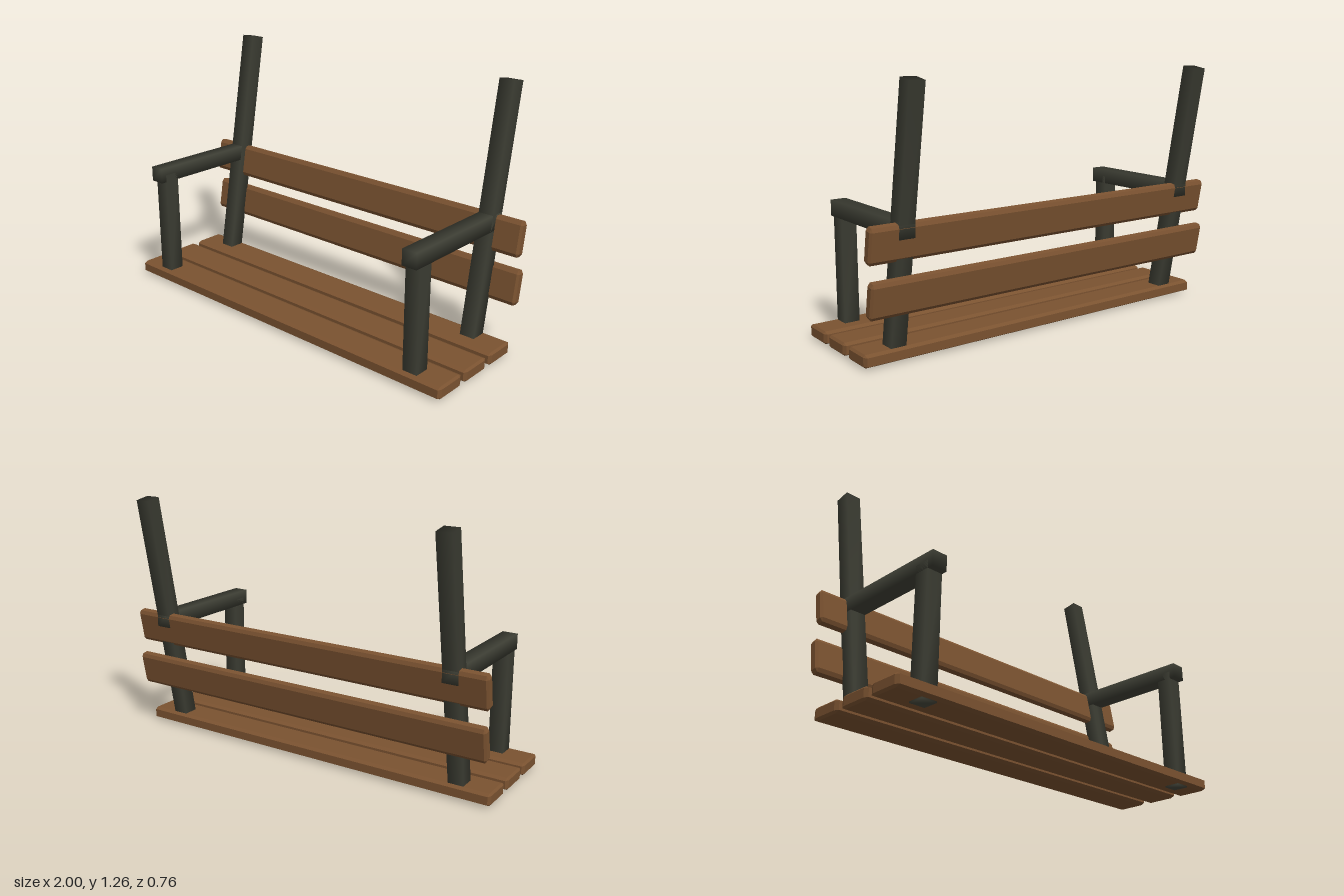
import * as THREE from 'three';
import { mergeVertices } from 'three/addons/utils/BufferGeometryUtils.js';
import { ConvexGeometry } from 'three/addons/geometries/ConvexGeometry.js';

const wood = new THREE.MeshStandardMaterial({ color: 0x7a5230 });
wood.name = 'brown wood';
const metal = new THREE.MeshStandardMaterial({ color: 0x3c3d33 });
metal.name = 'dark metal';

// Box with chamfered edges: each corner becomes three points, inset per axis
function chamferedBox(w, h, d, cx, cy, cz) {
  const points = [];
  for (const sx of [-1, 1]) for (const sy of [-1, 1]) for (const sz of [-1, 1]) {
    const x = w / 2, y = h / 2, z = d / 2;
    points.push(
      new THREE.Vector3(sx * x, sy * (y - cy), sz * (z - cz)),
      new THREE.Vector3(sx * (x - cx), sy * y, sz * (z - cz)),
      new THREE.Vector3(sx * (x - cx), sy * (y - cy), sz * z));
  }
  return new ConvexGeometry(points);
}

// Square bar with normals blended over its corners
function softBar(w, h, d) {
  const box = new THREE.BoxGeometry(w, h, d);
  box.deleteAttribute('normal');
  box.deleteAttribute('uv');
  const bar = mergeVertices(box);
  bar.computeVertexNormals();
  return bar;
}

export function createModel() {
  const model = new THREE.Group();
  model.name = 'swingBench';
  const tilt = THREE.MathUtils.degToRad(-10);

  function add(name, geometry, material, x, y, z, rx = 0) {
    const mesh = new THREE.Mesh(geometry, material);
    mesh.name = name;
    mesh.position.set(x, y, z);
    mesh.rotation.x = rx;
    model.add(mesh);
  }

  // Three flat seat slats
  const seatSlat = chamferedBox(2, 0.061, 0.173, 0.01, 0.01, 0.02);
  [0.288, 0.094, -0.103].forEach((z, i) => add('seatSlat' + (i + 1), seatSlat, wood, 0, 0.037, z));

  // Two leaning back slats
  const backSlat = chamferedBox(2, 0.168, 0.05, 0.01, 0.017, 0.01);
  [0.32, 0.559].forEach((y, i) => add('backSlat' + (i + 1), backSlat, wood, 0, y, -0.234, tilt));

  // Frame bars, mirrored on both sides
  const bar = 0.077;
  const frontPost = softBar(bar, 0.612, bar);
  const armrest = softBar(bar, bar, 0.65);
  const rearPost = softBar(bar, 1.24, bar);
  for (const [side, s] of [['left', 1], ['right', -1]]) {
    const x = s * 0.825;
    add(side + 'FrontPost', frontPost, metal, x, 0.306, 0.313);
    add(side + 'Armrest', armrest, metal, x, 0.612, 0.055);
    add(side + 'RearPost', rearPost, metal, x, 0.641, -0.232, tilt);
  }
  return model;
}
